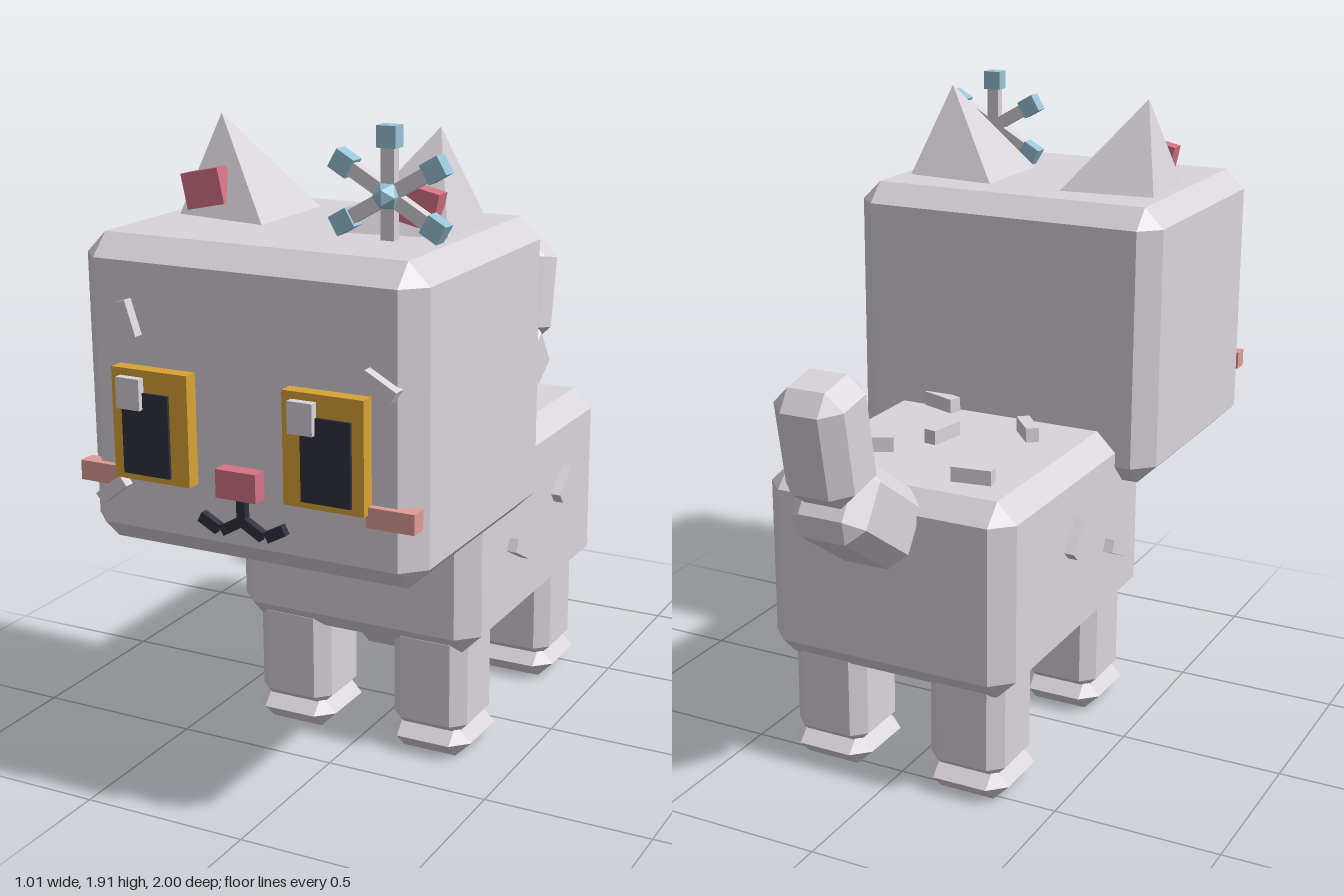
import * as THREE from 'three';
import { ConvexGeometry } from 'three/addons/geometries/ConvexGeometry.js';

const paint = (name, color) => Object.assign(new THREE.MeshStandardMaterial({ color }), { name });
const deg = THREE.MathUtils.degToRad;

// Box with all edges cut at 45 degrees
function bevelBox(w, h, d, b) {
  const pts = [];
  for (const x of [-w / 2, w / 2]) for (const y of [-h / 2, h / 2]) for (const z of [-d / 2, d / 2]) {
    const bx = x - Math.sign(x) * b, by = y - Math.sign(y) * b, bz = z - Math.sign(z) * b;
    pts.push(new THREE.Vector3(x, by, bz), new THREE.Vector3(bx, y, bz), new THREE.Vector3(bx, by, z));
  }
  return new ConvexGeometry(pts);
}

export function createModel() {
  const model = new THREE.Group();
  model.name = 'blockCat';
  const fur = paint('fur', 0xd9d4da);
  const gold = paint('gold', 0xd9a336);
  const dark = paint('dark', 0x30303f);
  const pink = paint('pink', 0xd67386);
  const blush = paint('blush', 0xe09c98);
  const blue = paint('blue', 0x98c4d8);

  function add(name, geometry, material, [x, y, z], parent = model) {
    const mesh = new THREE.Mesh(geometry, material);
    mesh.name = name;
    mesh.position.set(x, y, z);
    parent.add(mesh);
    return mesh;
  }
  const box = (w, h, d) => new THREE.BoxGeometry(w, h, d);

  // Head and body
  add('head', bevelBox(1.01, 0.85, 0.81, 0.06), fur, [0, 1.19, 0.53]);
  add('body', bevelBox(0.79, 0.59, 0.965, 0.06), fur, [0, 0.635, -0.122]);

  // Legs and feet
  for (const x of [-0.227, 0.227]) for (const z of [0.207, -0.433]) {
    add('leg', bevelBox(0.24, 0.34, 0.24, 0.04), fur, [x, 0.235, z]);
    add('foot', bevelBox(0.27, 0.1, 0.27, 0.05), fur, [x, 0.05, z]);
  }

  // Tail in two bent segments
  add('tailBase', bevelBox(0.235, 0.365, 0.235, 0.05), fur, [0, 0.902, -0.724]).rotation.x = -0.972;
  add('tailTip', bevelBox(0.212, 0.34, 0.212, 0.05), fur, [0, 1.157, -0.872]).rotation.x = -0.188;

  // Mirrored ears, cheeks, eyes and mouth
  for (const s of [-1, 1]) {
    const corners = [[0.415, 1.61, 0.325], [0.115, 1.61, 0.295], [0.115, 1.61, 0.625],
      [0.41, 1.61, 0.575], [0.335, 1.885, 0.463]];
    add('ear', new ConvexGeometry(corners.map(([x, y, z]) => new THREE.Vector3(s * x, y, z))), fur, [0, 0, 0]);
    add('innerEar', box(0.12, 0.1, 0.05), pink, [s * 0.323, 1.693, 0.567]).rotation.z = deg(-12 * s);
    add('cheek', box(0.135, 0.055, 0.05), blush, [s * 0.434, 0.97, 0.93]);

    add('iris', box(0.232, 0.303, 0.06), gold, [s * 0.257, 1.128, 0.947]);
    add('pupil', box(0.143, 0.225, 0.009), dark, [s * 0.268, 1.107, 0.981]);
    add('eyeHighlight', box(0.072, 0.085, 0.03), fur, [s * 0.257 - 0.053, 1.217, 0.985]);

    add('mouthInner', box(0.065, 0.028, 0.03), dark, [s * 0.033, 0.881, 0.942]).rotation.z = deg(-30 * s);
    add('mouthOuter', box(0.06, 0.03, 0.03), dark, [s * 0.1, 0.881, 0.942]).rotation.z = deg(28 * s);
  }
  add('nose', box(0.12, 0.078, 0.06), pink, [0, 1.004, 0.95]);
  add('mouthStem', box(0.026, 0.075, 0.03), dark, [0, 0.928, 0.942]);

  // Raised fur tufts on the face: x, y, angle
  for (const [x, y, a] of [[-0.333, 1.405, -72], [0.405, 1.315, -29], [-0.4, 0.93, 38]])
    add('faceTuft', box(0.1, 0.035, 0.04), fur, [x, y, 0.945]).rotation.z = deg(a);

  // Tufts on the back: x, z, angle
  for (const [x, z, a] of [[-0.204, -0.435, 8], [0.18, -0.33, 28], [0.047, -0.15, 80], [-0.167, -0.01, -50], [0.19, 0.115, -20]])
    add('backTuft', box(0.12, 0.06, 0.04), fur, [x, 0.944, z]).rotation.y = deg(a);

  // Tufts on the flanks: side, y, z, angle
  for (const [s, y, z, a] of [[1, 0.595, 0.062, -28], [1, 0.697, -0.276, 38], [-1, 0.705, -0.18, -48], [-1, 0.572, 0.11, 25]])
    add('flankTuft', box(0.05, 0.04, 0.115), fur, [s * 0.4, y, z]).rotation.x = deg(a);

  // Snowflake ornament beside the ear
  const snowflake = new THREE.Group();
  snowflake.name = 'snowflake';
  snowflake.position.set(0.283, 1.73, 0.655);
  model.add(snowflake);
  for (let i = 0; i < 6; i++) {
    const spoke = new THREE.Group();
    spoke.name = 'snowflakeArm';
    spoke.rotation.z = i * Math.PI / 3;
    snowflake.add(spoke);
    add('spoke', box(0.038, 0.14, 0.03), fur, [0, 0.07, 0], spoke);
    add('spokeTip', box(0.055, 0.057, 0.045), blue, [0, 0.151, 0], spoke);
  }
  add('snowflakeCore', new THREE.IcosahedronGeometry(0.038), blue, [0, 0, 0.018], snowflake);

  return model;
}
